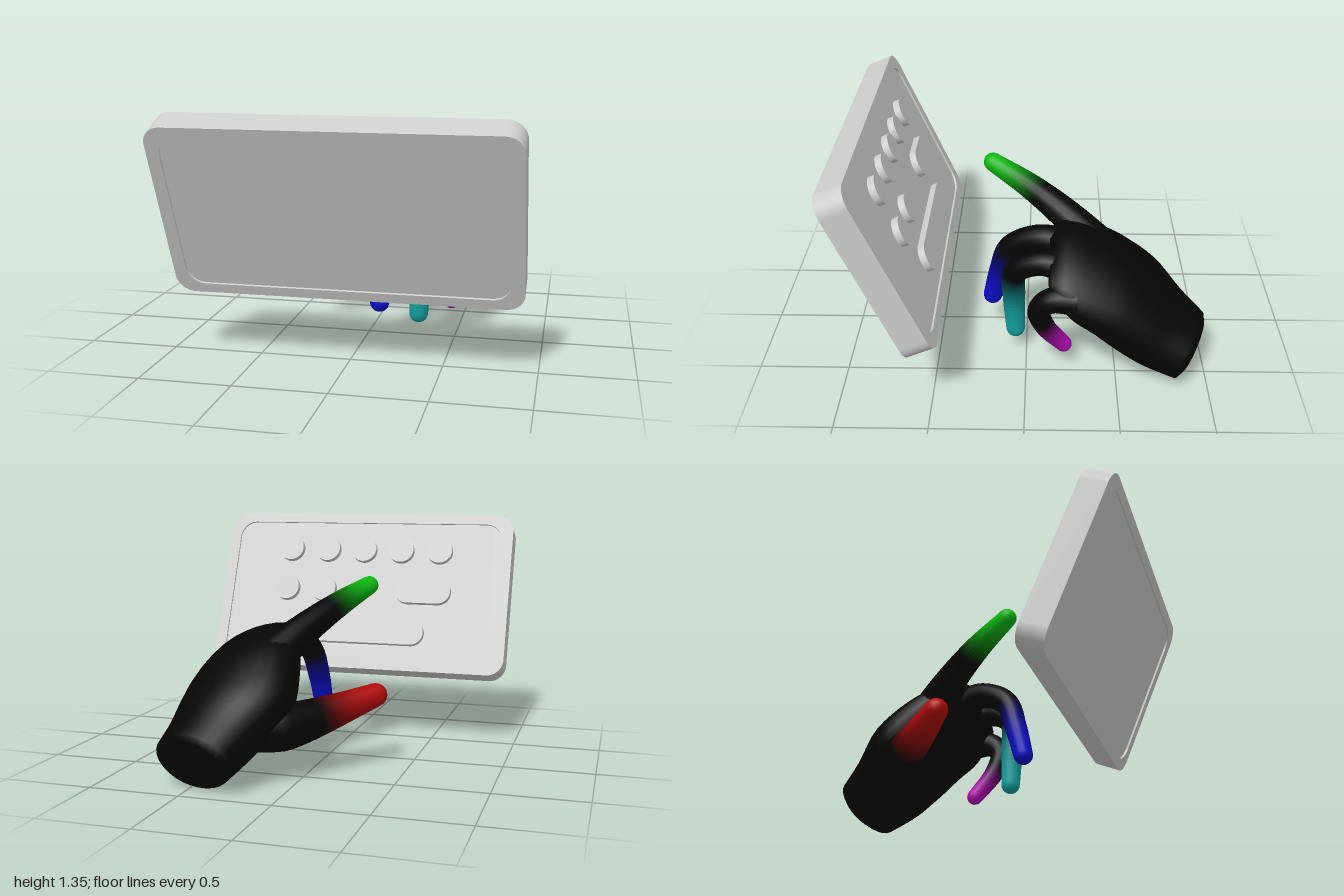
import * as THREE from 'three';

const BLACK = new THREE.Color(0x050505);
const V = (x, y, z) => new THREE.Vector3(x, y, z);

// Rounded rectangle outline, used for the case, the plates and the keys
function roundedRect(w, h, r, Type = THREE.Shape) {
  const s = new Type(), x = w / 2 - r, y = h / 2 - r;
  s.absarc(x, y, r, 0, Math.PI / 2);
  s.absarc(-x, y, r, Math.PI / 2, Math.PI);
  s.absarc(-x, -y, r, Math.PI, Math.PI * 1.5);
  s.absarc(x, -y, r, Math.PI * 1.5, Math.PI * 2);
  s.closePath();
  return s;
}

function slab(name, shape, depth, material) {
  const geo = new THREE.ExtrudeGeometry(shape, { depth, bevelEnabled: false, curveSegments: 14 });
  geo.translate(0, 0, -depth / 2);
  const mesh = new THREE.Mesh(geo, material);
  mesh.name = name;
  return mesh;
}

// Skin a list of equally divided rings, each running counterclockwise about the forward direction
function loft(rings) {
  const n = rings[0].length, index = [];
  for (let i = 0; i < rings.length - 1; i++)
    for (let j = 0; j < n; j++) {
      const k = (j + 1) % n, a = i * n, b = a + n;
      index.push(a + j, a + k, b + j, a + k, b + k, b + j);
    }
  const geo = new THREE.BufferGeometry().setFromPoints(rings.flat());
  geo.setIndex(index);
  geo.computeVertexNormals();
  return geo;
}

function ring(c, u, v, a, b, n) {
  return Array.from({ length: n }, (_, j) => {
    const t = (j / n) * Math.PI * 2;
    return c.clone().addScaledVector(u, a * Math.cos(t)).addScaledVector(v, b * Math.sin(t));
  });
}

// Curved, tapered finger with a round tip; its colour fades in toward the tip
function finger(name, color, joints, fadeStart, fadeEnd) {
  const N = 36, SIDES = 18, CAP = 5;
  const curve = new THREE.CatmullRomCurve3(joints.map((j) => V(j[0], j[1], j[2])), false, 'centripetal');
  const rings = [], shades = [];
  const addRing = (c, d, r) => {
    const u = V(1, 0, 0).addScaledVector(d, -d.x).normalize();
    rings.push(ring(c, u, d.clone().cross(u), r, r, SIDES));
  };
  for (let i = 0; i <= N; i++) {
    const t = i / N, s = t * (joints.length - 1), k = Math.min(Math.floor(s), joints.length - 2);
    const r = THREE.MathUtils.lerp(joints[k][3], joints[k + 1][3], s - k);
    const c = curve.getPoint(t), d = curve.getTangent(t);
    addRing(c, d, r);
    shades.push(THREE.MathUtils.smoothstep(t, fadeStart, fadeEnd));
    if (i === N)
      for (let q = 1; q <= CAP; q++) {
        const a = (q / CAP) * Math.PI / 2;
        addRing(c.clone().addScaledVector(d, r * Math.sin(a)), d, Math.max(r * Math.cos(a), 0.0005));
        shades.push(1);
      }
  }
  const geo = loft(rings), tip = new THREE.Color(color);
  const materials = shades.slice(0, -1).map((s, i) => {
    geo.addGroup(i * SIDES * 6, SIDES * 6, i);
    return new THREE.MeshStandardMaterial({ color: BLACK.clone().lerp(tip, s) });
  });
  const mesh = new THREE.Mesh(geo, materials);
  mesh.name = name;
  return mesh;
}

// Palm and wrist: [x, y, z, half width, half thickness, pitch, roll, yaw]
function palm() {
  const sections = [
    [0.46, 0.16, -0.905, 0.235, 0.172, 0.4, 0, 0.25],
    [0.41, 0.25, -0.75, 0.275, 0.2, 0.55, -0.05, 0.2],
    [0.35, 0.37, -0.6, 0.335, 0.215, 0.65, -0.15, 0.08],
    [0.355, 0.5, -0.44, 0.33, 0.2, 0.6, -0.28, 0],
    [0.37, 0.59, -0.29, 0.305, 0.165, 0.45, -0.36, 0],
    [0.37, 0.645, -0.19, 0.265, 0.115, 0.2, -0.36, 0],
    [0.37, 0.665, -0.125, 0.2, 0.045, 0.1, -0.34, 0],
  ];
  const SIDES = 28, STEPS = 4;
  const at = (k) => sections[Math.max(0, Math.min(sections.length - 1, k))];
  const spline = (p, q, r, s, t) =>
    0.5 * (2 * q + (r - p) * t + (2 * p - 5 * q + 4 * r - s) * t * t + (3 * q - p - 3 * r + s) * t ** 3);
  const rings = [];
  for (let i = 0; i <= (sections.length - 1) * STEPS; i++) {
    const k = Math.floor(i / STEPS), t = (i % STEPS) / STEPS;
    const [x, y, z, w, h, pitch, roll, yaw] = at(k).map((q, m) => spline(at(k - 1)[m], q, at(k + 1)[m], at(k + 2)[m], t));
    const u = V(1, roll, yaw).normalize(), v = V(0, Math.cos(pitch), -Math.sin(pitch));
    rings.push(ring(V(x, y, z), u, v, w, h, SIDES));
  }
  // Close both ends, with a slightly domed wrist
  const middle = (r) => r.reduce((s, p) => s.add(p), V(0, 0, 0)).divideScalar(SIDES);
  const shrink = (r, s, push) => r.map((p) => middle(r).lerp(p, s).add(V(0, -0.4 * push, -push)));
  const all = [shrink(rings[0], 0, 0.03), shrink(rings[0], 0.8, 0.022), ...rings, shrink(rings.at(-1), 0, 0)];
  const mesh = new THREE.Mesh(loft(all), new THREE.MeshStandardMaterial({ color: BLACK }));
  mesh.name = 'palm';
  return mesh;
}

export function createModel() {
  const model = new THREE.Group();
  const grey = new THREE.MeshStandardMaterial({ color: 0xcccccc });

  // Tilted keypad panel, slightly recessed on both faces
  const panel = new THREE.Group();
  panel.name = 'panel';
  panel.position.set(0, 0.857, 0.725);
  panel.rotation.x = 0.41;
  const outline = roundedRect(1.856, 1.015, 0.1);
  outline.holes.push(roundedRect(1.72, 0.9, 0.1, THREE.Path));
  panel.add(slab('frame', outline, 0.155, grey));
  panel.add(slab('screenPlate', roundedRect(1.72, 0.9, 0.1), 0.131, grey));

  // Keys on the back: [x, y, width]
  const keys = [
    ...[-0.485, -0.24, 0, 0.24, 0.485].map((x) => [x, 0.265, 0.16]),
    [-0.4, 0, 0.35], [0.24, 0, 0.16], [0.485, 0, 0.16],
    [-0.005, -0.268, 0.85],
  ];
  for (const [x, y, w] of keys) {
    const key = slab('key', roundedRect(w, 0.16, 0.0799), 0.06, grey);
    key.position.set(x, y, -0.074);
    panel.add(key);
  }
  model.add(panel);

  // Hand pointing at the keys; finger joints are [x, y, z, radius]
  const hand = new THREE.Group();
  hand.name = 'hand';
  hand.add(
    palm(),
    finger('thumb', 0xb00c0c, [[0.28, 0.29, -0.72, 0.11], [0.1, 0.285, -0.585, 0.128], [-0.03, 0.31, -0.45, 0.11], [-0.15, 0.345, -0.325, 0.09], [-0.31, 0.4, -0.165, 0.066]], 0.5, 0.97),
    finger('indexFinger', 0x0cb810, [[0.21, 0.62, -0.42, 0.115], [0.075, 0.765, -0.22, 0.09], [-0.05, 0.875, -0.02, 0.073], [-0.175, 0.968, 0.2, 0.054]], 0.55, 0.98),
    finger('middleFinger', 0x0c0cc8, [[0.25, 0.65, -0.26, 0.085], [0.205, 0.69, -0.09, 0.076], [0.145, 0.595, 0.09, 0.068], [0.115, 0.42, 0.155, 0.063], [0.1, 0.242, 0.2, 0.055]], 0.5, 0.95),
    finger('ringFinger', 0x14a0a0, [[0.42, 0.61, -0.26, 0.08], [0.385, 0.64, -0.08, 0.07], [0.335, 0.55, 0.06, 0.067], [0.31, 0.38, 0.07, 0.064], [0.3, 0.15, 0.062, 0.054]], 0.5, 0.95),
    finger('littleFinger', 0xb00cb0, [[0.57, 0.52, -0.28, 0.08], [0.56, 0.515, -0.14, 0.07], [0.53, 0.43, -0.072, 0.062], [0.495, 0.3, -0.105, 0.056], [0.455, 0.153, -0.21, 0.046]], 0.65, 1),
  );
  model.add(hand);
  return model;
}
